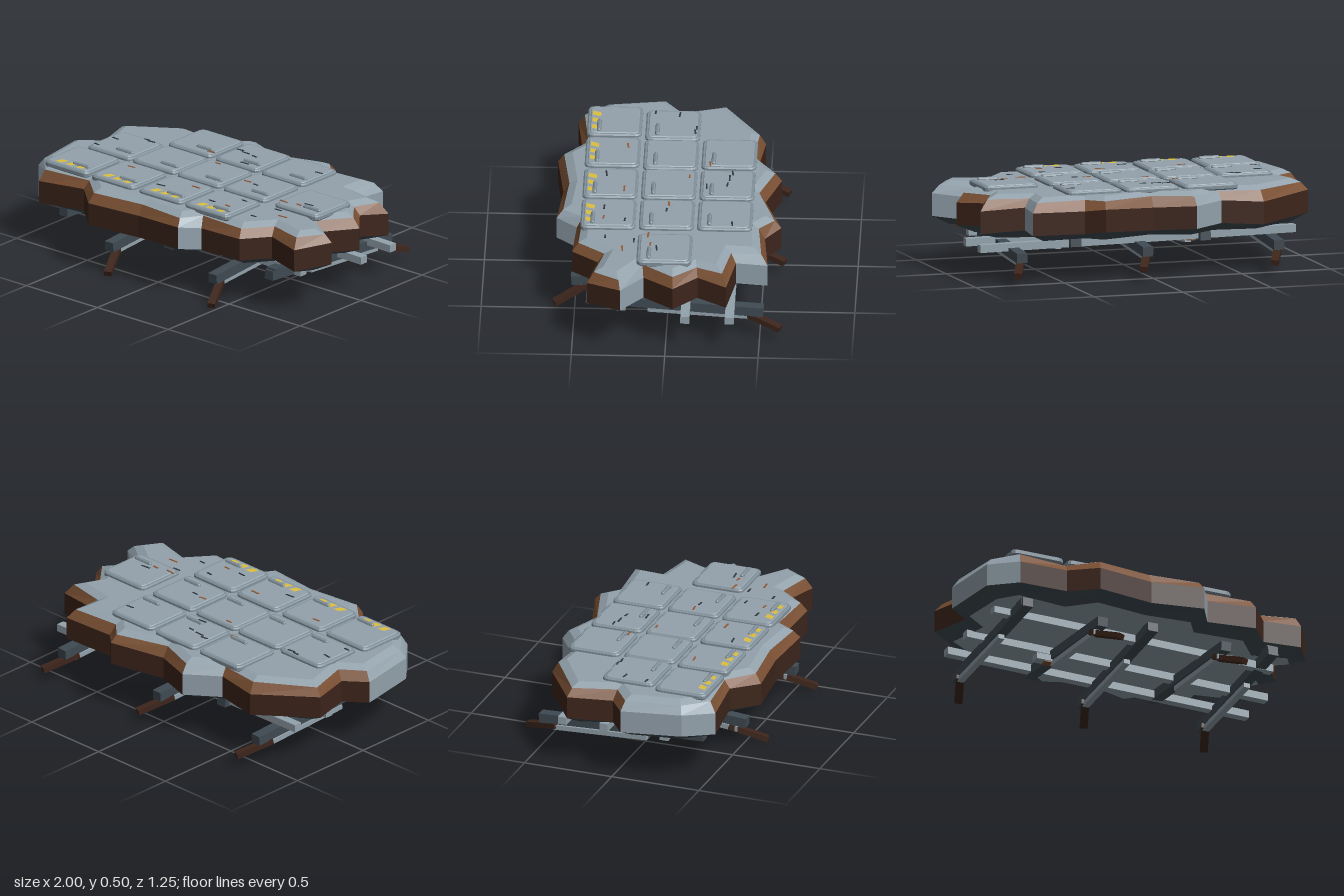
import * as THREE from 'three';

const mat = (name, color, side = THREE.FrontSide) => {
  const m = new THREE.MeshStandardMaterial({ color, side, flatShading: true });
  m.name = name;
  return m;
};

// Jagged slab outline as [x, z], starting at the left end of the front and running along the front
const OUTLINE = [
  [-1, 0.05], [-0.95, 0.38], [-0.82, 0.525], [-0.53, 0.495], [-0.39, 0.62], [-0.07, 0.58], [0.23, 0.605],
  [0.3, 0.495], [0.58, 0.51], [0.69, 0.37], [0.89, 0.42], [1, 0.24], [0.83, 0.12], [0.955, -0.04],
  [0.845, -0.17], [0.915, -0.325], [0.68, -0.37], [0.69, -0.54], [0.39, -0.515], [0.3, -0.6], [0, -0.505],
  [-0.22, -0.585], [-0.4, -0.46], [-0.63, -0.485], [-0.95, -0.275], [-0.88, -0.04],
];
const BARE_EDGES = [0, 1, 6, 11, 16, 21]; // edges without rust
const DECK_Y = 0.467, PANEL_TOP = 0.488;

// Move every outline corner inwards along its mitre
function inset(points, d) {
  const n = points.length;
  const normal = (a, b) => new THREE.Vector2(b[1] - a[1], a[0] - b[0]).normalize();
  return points.map((p, i) => {
    const n1 = normal(points[(i + n - 1) % n], p), n2 = normal(p, points[(i + 1) % n]);
    const k = d / Math.max(0.6, 1 + n1.dot(n2));
    return [p[0] + (n1.x + n2.x) * k, p[1] + (n1.y + n2.y) * k];
  });
}

function roundedRect(w, h, r) {
  const s = new THREE.Shape(), x = w / 2, y = h / 2;
  s.moveTo(-x + r, -y).lineTo(x - r, -y).quadraticCurveTo(x, -y, x, -y + r)
    .lineTo(x, y - r).quadraticCurveTo(x, y, x - r, y)
    .lineTo(-x + r, y).quadraticCurveTo(-x, y, -x, y - r)
    .lineTo(-x, -y + r).quadraticCurveTo(-x, -y, -x + r, -y);
  return s;
}

// Rounded plate lying flat, its base just below y = 0
function plate(w, d, r, height, bevel) {
  const g = new THREE.ExtrudeGeometry(roundedRect(w - 2 * bevel, d - 2 * bevel, r), {
    depth: height - bevel, bevelThickness: bevel, bevelSize: bevel, bevelSegments: 1, curveSegments: 3,
  });
  return g.rotateX(-Math.PI / 2);
}

export function createModel() {
  const steel = mat('steel', 0x93a2ac);
  const frameSteel = mat('frame steel', 0x81909a);
  const darkSteel = mat('dark steel', 0x3f4a52);
  const rust = mat('rust', 0x7a5033);
  const darkRust = mat('dark rust', 0x3d251b);
  const yellow = mat('hazard yellow', 0xdcc040, THREE.DoubleSide);
  const scratchDark = mat('scratch', 0x2f373d);
  const scratchRust = mat('rust fleck', 0x98582f);

  const model = new THREE.Group();
  model.name = 'platform';
  const add = (name, geometry, material, x = 0, y = 0, z = 0, parent = model) => {
    const mesh = new THREE.Mesh(geometry, material);
    mesh.name = name;
    mesh.position.set(x, y, z);
    parent.add(mesh);
    return mesh;
  };

  // Slab: rings from the underside up to the deck
  const rings = [[0.08, 0.229], [0, 0.272], [0, 0.395], [0.032, 0.445], [0.075, DECK_Y]].map(([d, y], r) =>
    inset(OUTLINE, d).map(([x, z], i) => new THREE.Vector3(x, y + (r === 1 || r === 2 ? 0.01 * Math.sin(i * 2.4) : 0), z)));
  const faces = new Map([steel, darkSteel, rust, darkRust].map(m => [m, []]));
  const tri = (m, ...pts) => pts.forEach(p => faces.get(m).push(p.x, p.y, p.z));
  const count = OUTLINE.length;
  for (let i = 0; i < count; i++) {
    const j = (i + 1) % count, bare = BARE_EDGES.includes(i);
    const bands = [darkSteel, bare ? steel : darkRust, bare ? steel : rust, steel];
    bands.forEach((m, r) => {
      const [a, b, c, d] = [rings[r][i], rings[r][j], rings[r + 1][j], rings[r + 1][i]];
      tri(m, a, b, c);
      tri(m, a, c, d);
    });
  }
  const cap = (ring, flip) => {
    const flat = ring.map(p => new THREE.Vector2(p.x, -p.z));
    THREE.ShapeUtils.triangulateShape(flat, []).forEach(([a, b, c]) =>
      flip ? tri(steel, ring[a], ring[c], ring[b]) : tri(steel, ring[a], ring[b], ring[c]));
  };
  cap(rings[4], false);
  cap(rings[0], true);
  for (const [m, data] of faces) {
    const g = new THREE.BufferGeometry();
    g.setAttribute('position', new THREE.Float32BufferAttribute(data, 3));
    g.computeVertexNormals();
    add('slab ' + m.name, g, m);
  }

  // Deck hatches: frame, raised lid and grab handle
  const rows = [
    { z: -0.3, xs: [-0.35, -0.02, 0.305] },
    { z: 0.012, xs: [-0.65, -0.335, -0.02, 0.305, 0.67] },
    { z: 0.325, xs: [-0.685, -0.355, -0.02, 0.305], hazard: true },
  ];
  const frameGeo = plate(0.308, 0.294, 0.03, 0.024, 0.007);
  const lidGeo = plate(0.276, 0.263, 0.02, 0.008, 0.005);
  const handleGeo = new THREE.CapsuleGeometry(0.012, 0.095, 3, 8).rotateZ(Math.PI / 2);
  const stripeShape = new THREE.Shape([[-0.03, -0.022], [0.012, -0.022], [0.03, 0.022], [-0.012, 0.022]]
    .map(p => new THREE.Vector2(...p)));
  const stripeGeo = new THREE.ShapeGeometry(stripeShape).rotateX(-Math.PI / 2);
  const hatches = [];
  for (const { z, xs, hazard } of rows) for (const x of xs) {
    const hatch = new THREE.Group();
    hatch.name = 'hatch';
    hatch.position.set(x, DECK_Y - 0.007, z);
    model.add(hatch);
    hatches.push([x, z]);
    add('hatchFrame', frameGeo, frameSteel, 0, 0, 0, hatch);
    add('hatchLid', lidGeo, steel, 0, 0.02, 0, hatch);
    add('hatchHandle', handleGeo, frameSteel, 0.065, 0.03, 0.082, hatch);
    if (hazard) for (const sx of [-0.06, 0.01, 0.082]) add('hazardStripe', stripeGeo, yellow, sx, 0.0295, 0.098, hatch);
  }

  // Scratches and rust flecks as thin chips
  const flecks = (name, m, spots) => spots.forEach(([x, z], i) => {
    const onHatch = hatches.some(([hx, hz]) => Math.abs(x - hx) < 0.14 && Math.abs(z - hz) < 0.135);
    const chip = add(name, new THREE.BoxGeometry(0.035 + 0.01 * (i % 3), 0.003, 0.009), m, x, onHatch ? PANEL_TOP + 0.001 : DECK_Y + 0.001, z);
    chip.rotation.y = 0.12 * Math.sin(i * 1.9);
  });
  flecks('scratch', scratchDark, [
    [-0.61, -0.115], [-0.57, -0.108], [-0.5, -0.095], [-0.77, 0.11], [-0.13, -0.325], [-0.08, -0.31], [-0.01, -0.3],
    [0.41, -0.34], [0.015, -0.19], [0.27, 0.015], [0.57, 0.18], [0.68, 0.055], [0.38, 0.235], [0.25, 0.35],
    [-0.11, 0.35], [0.53, 0.335], [-0.75, -0.02],
  ]);
  flecks('rustFleck', scratchRust, [
    [-0.09, -0.095], [0.205, 0.005], [0.545, 0.105], [0.64, 0.09], [-0.41, 0.245], [0.05, 0.25], [0.36, 0.35], [-0.23, -0.2], [0.655, 0.24],
  ]);

  // Straight bar between two points
  const bar = (name, m, from, to, w, h) => {
    const a = new THREE.Vector3(...from), b = new THREE.Vector3(...to);
    const mid = a.clone().add(b).multiplyScalar(0.5);
    const mesh = add(name, new THREE.BoxGeometry(w, h, a.distanceTo(b)), m, mid.x, mid.y, mid.z);
    mesh.lookAt(b);
  };

  // Long stringers under the slab
  for (const [z, end] of [[0.24, 0.8], [-0.105, 0.93], [-0.343, 0.93]])
    bar('stringer', steel, [-0.85, 0.213, z], [end, 0.188, z], 0.048, 0.042);

  // Cross beams, alternately drooping to the back and the front, each with a brace and a broken rusty tip
  [-0.73, -0.33, 0.01, 0.4, 0.72].forEach((x, i) => {
    if (i % 2 === 0) {
      bar('crossBeam', darkSteel, [x, 0.205, 0.43], [x + 0.025, 0.152, -0.52], 0.058, 0.052);
      bar('brace', steel, [x, 0.14, 0.1], [x + 0.01, 0.112, -0.44], 0.035, 0.026);
      bar('brokenTip', darkRust, [x, 0.123, -0.42], [x + 0.08, 0.072, -0.612], 0.042, 0.03);
    } else {
      bar('crossBeam', darkSteel, [x, 0.205, -0.4], [x, 0.13, 0.52], 0.058, 0.052);
      bar('brace', steel, [x, 0.138, -0.1], [x - 0.01, 0.088, 0.47], 0.035, 0.028);
      bar('brokenTip', darkRust, [x - 0.02, 0.1, 0.42], [x + 0.068, 0.018, 0.61], 0.042, 0.03);
    }
    add('beamMount', new THREE.BoxGeometry(0.06, 0.05, 0.07), darkSteel, x, 0.215, i % 2 ? -0.36 : 0.38);
  });

  // Splice plate with a rusted end on one cross beam
  add('splice', new THREE.BoxGeometry(0.1, 0.035, 0.06), steel, -0.39, 0.16, -0.1);
  add('spliceRust', new THREE.BoxGeometry(0.07, 0.02, 0.05), rust, -0.355, 0.146, -0.1);

  return model;
}
